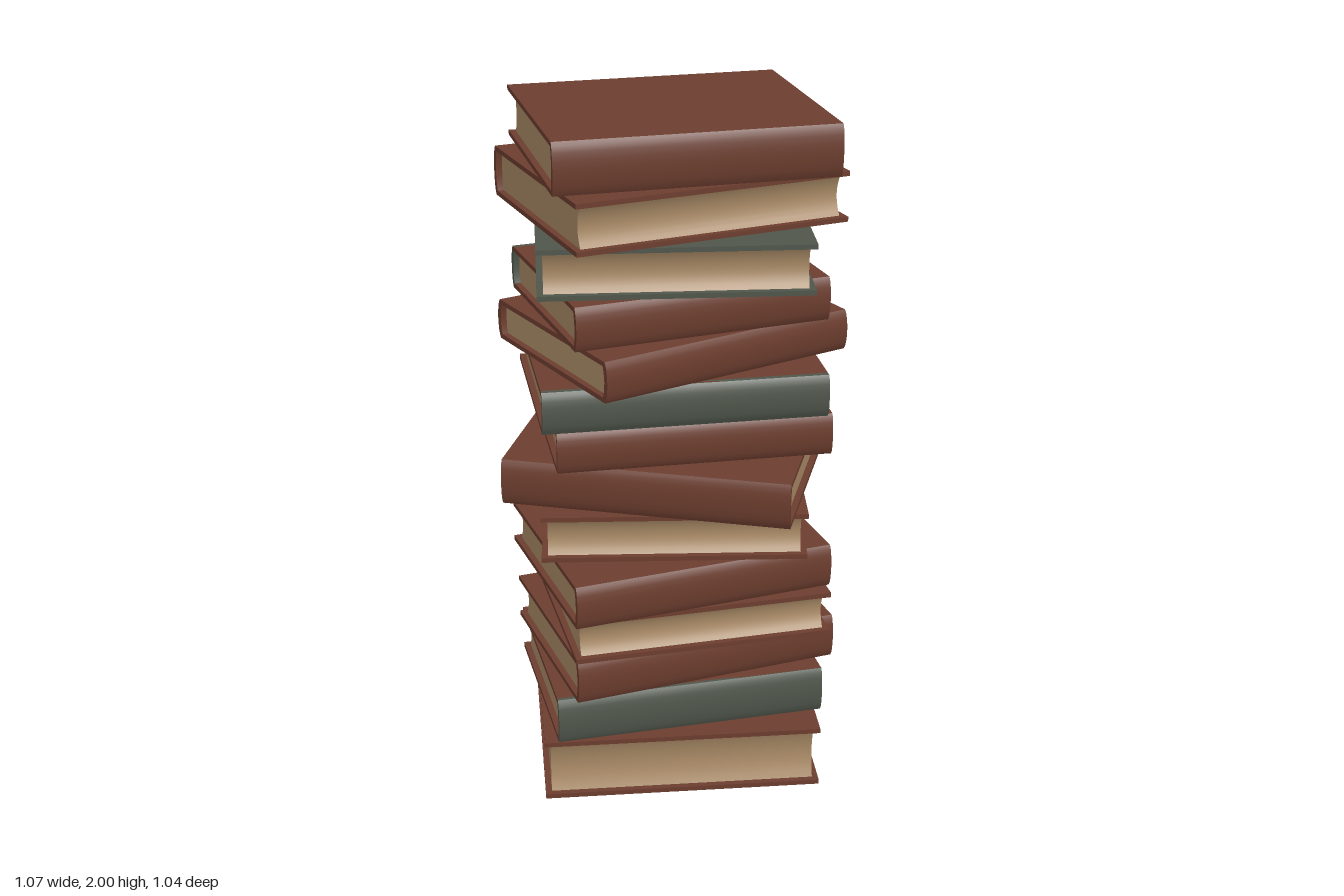
import * as THREE from 'three';
import { toCreasedNormals } from 'three/addons/utils/BufferGeometryUtils.js';

const mat = (name, color) => {
  const m = new THREE.MeshStandardMaterial({ color });
  m.name = name;
  return m;
};

const COVER = 0.014;   // board thickness
const BULGE = 0.014;   // outward curve of a spine
const SPINE = 0.016;   // spine thickness

// Each book: [bottom, top], x of left / front / right corner, z of front / right / back corner,
// side of the spine, spine colour, board colour, optional colours of a second bound edge
const BOOKS = [
  { y: [0, 0.19], x: [-0.505, 0.21, 0.535], z: [0.485, -0.13, -0.525], side: 'back' },
  { y: [0.198, 0.338], x: [-0.48, 0.27, 0.475], z: [0.41, -0.16, -0.435], side: 'front', spine: 'green' },
  { y: [0.342, 0.478], x: [-0.44, 0.34, 0.47], z: [0.365, -0.21, -0.39], side: 'front' },
  { y: [0.482, 0.617], x: [-0.45, 0.26, 0.485], z: [0.45, -0.18, -0.44], side: 'back' },
  { y: [0.62, 0.75], x: [-0.475, 0.28, 0.42], z: [0.42, -0.19, -0.365], side: 'front' },
  { y: [0.755, 0.895], x: [-0.475, 0.165, 0.50], z: [0.455, -0.09, -0.495], side: 'back' },
  { y: [0.905, 1.04], x: [-0.535, 0.045, 0.465], z: [0.525, 0.115, -0.475], side: 'front' },
  { y: [1.045, 1.168], x: [-0.455, 0.265, 0.51], z: [0.425, -0.15, -0.455], side: 'front' },
  { y: [1.172, 1.295], x: [-0.497, 0.235, 0.48], z: [0.445, -0.115, -0.445], side: 'front', spine: 'green' },
  { y: [1.3, 1.418], x: [-0.395, 0.395, 0.411], z: [0.31, -0.315, -0.335], side: 'front', second: ['brown', 'brown'] },
  { y: [1.422, 1.548], x: [-0.43, 0.295, 0.43], z: [0.355, -0.235, -0.395], side: 'front', second: ['brown', 'green'] },
  { y: [1.552, 1.695], x: [-0.487, 0.16, 0.465], z: [0.47, -0.07, -0.455], side: 'back', spine: 'green', board: 'green' },
  { y: [1.705, 1.848], x: [-0.445, 0.335, 0.447], z: [0.38, -0.26, -0.42], side: 'back' },
  { y: [1.855, 2], x: [-0.48, 0.265, 0.487], z: [0.43, -0.2, -0.455], side: 'front' },
];

// Extrude an (x, y) outline along z between z0 and z1
function extrude(shape, z0, z1) {
  const g = new THREE.ExtrudeGeometry(shape, { depth: z1 - z0, bevelEnabled: false, curveSegments: 8 });
  g.translate(0, 0, z0);
  return toCreasedNormals(g, 0.6);
}

// Curved strip at the -x edge of a book
function spineGeometry(w, h, z0, z1) {
  const x = -w / 2 + BULGE;
  const s = new THREE.Shape();
  s.moveTo(x + SPINE, 0);
  s.lineTo(x, 0);
  s.bezierCurveTo(x - BULGE * 1.33, h * 0.15, x - BULGE * 1.33, h * 0.85, x, h);
  s.lineTo(x + SPINE, h);
  s.quadraticCurveTo(x + SPINE - BULGE * 2, h / 2, x + SPINE, 0);
  return extrude(s, z0, z1);
}

// Page block with a hollow fore edge
function pagesGeometry(w, h, l, full) {
  const x0 = -w / 2 + BULGE + 0.004;
  const x1 = full ? -x0 : w / 2 - 0.018;
  const hollow = full ? 0 : 0.04;
  const s = new THREE.Shape();
  s.moveTo(x0, COVER * 0.9);
  s.lineTo(x1, COVER * 0.9);
  s.quadraticCurveTo(x1 - hollow, h / 2, x1, h - COVER * 0.9);
  s.lineTo(x0, h - COVER * 0.9);
  s.closePath();
  return extrude(s, -l / 2 + 0.018, l / 2 - 0.018);
}

export function createModel() {
  const mats = {
    brown: mat('brown leather', 0x6c3d2e),
    green: mat('grey green cloth', 0x4f564b),
    paper: mat('aged paper', 0xa98a66),
  };
  const model = new THREE.Group();
  model.name = 'bookStack';

  BOOKS.forEach((b, i) => {
    const [xl, xf, xr] = b.x, [zf, zr, zb] = b.z;
    const ux = xr - xf, uz = zr - zf;
    const w = Math.hypot(ux, uz);
    const l = Math.hypot(xl - xf, zb - zr);
    const h = b.y[1] - b.y[0];
    const spineMat = mats[b.spine || 'brown'], boardMat = mats[b.board || 'brown'];

    const book = new THREE.Group();
    book.name = `book${i + 1}`;
    book.position.set((xl + xr) / 2, b.y[0], (zf + zb) / 2);
    book.rotation.y = Math.atan2(-uz, ux) + (b.side === 'back' ? Math.PI : 0);
    model.add(book);

    const add = (name, geometry, material) => {
      const m = new THREE.Mesh(geometry, material);
      m.name = name;
      book.add(m);
      return m;
    };

    // Boards, starting behind the spine
    const left = -w / 2 + BULGE + 0.002, right = b.second ? -left : w / 2;
    for (const [name, y] of [['bottomCover', COVER / 2], ['topCover', h - COVER / 2]]) {
      const g = new THREE.BoxGeometry(right - left, COVER, l);
      g.translate((left + right) / 2, y, 0);
      add(name, g, boardMat);
    }

    add('pages', pagesGeometry(w, h, l, !!b.second), mats.paper);
    add('spine', spineGeometry(w, h, -l / 2, l / 2), spineMat);

    // Second bound edge, in two lengths
    if (b.second) {
      const cut = -l / 2 + l * 0.43;
      [[-l / 2, cut], [cut, l / 2]].forEach(([z0, z1], k) => {
        add('rearBinding', spineGeometry(w, h, z0, z1), mats[b.second[k]]).rotation.y = Math.PI;
      });
    }
  });
  return model;
}
